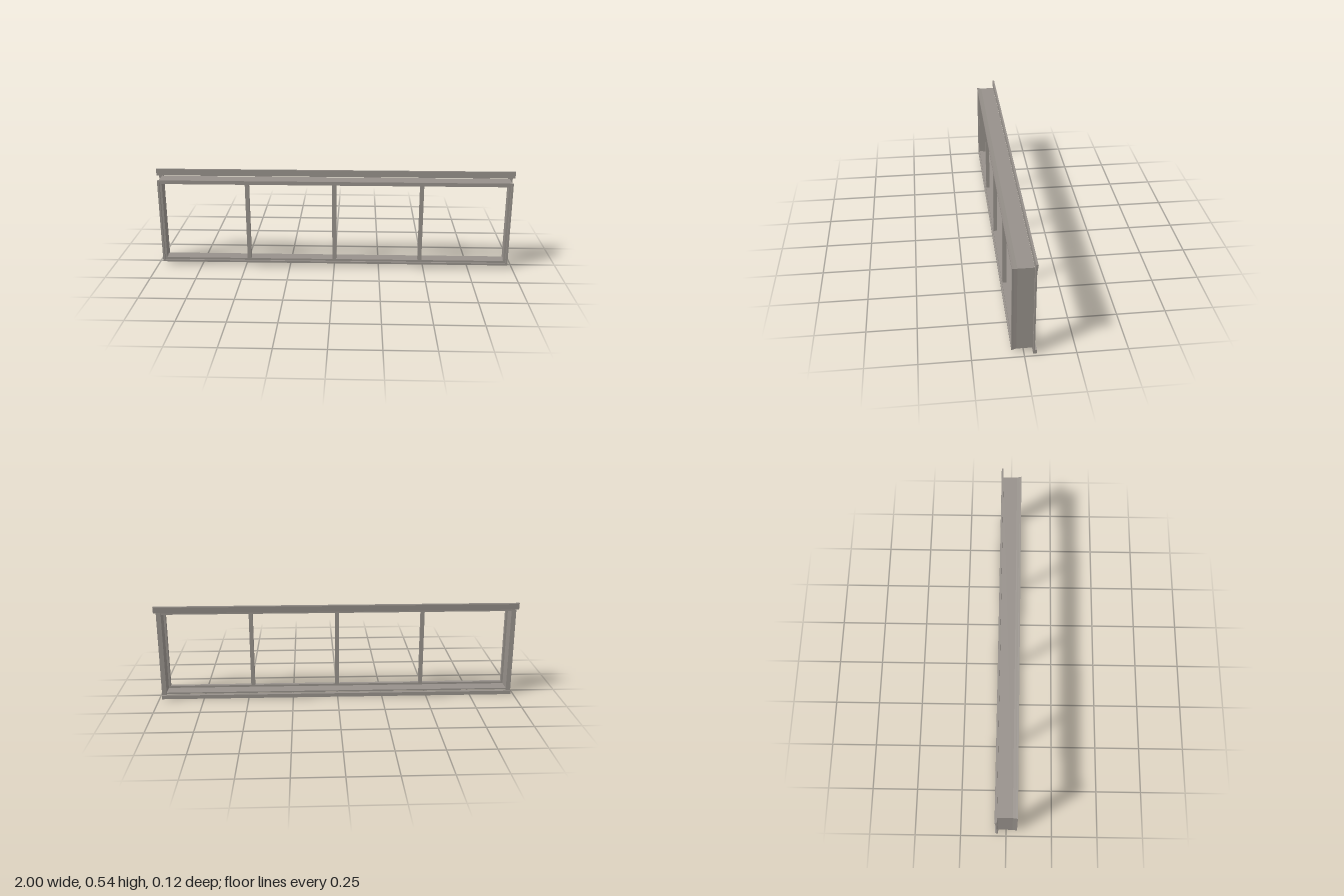
import * as THREE from 'three';

// Sweep a closed [inset, z] profile round a rectangle with mitred corners
function mitredFrame(halfW, y0, y1, profile) {
  const pos = [];
  const corner = (k, [d, z]) => [
    (k === 1 || k === 2 ? 1 : -1) * (halfW - d),
    k < 2 ? y0 + d : y1 - d,
    z,
  ];
  for (let k = 0; k < 4; k++) {
    const n = (k + 1) % 4;
    profile.forEach((p, i) => {
      const q = profile[(i + 1) % profile.length];
      const a = corner(k, p), b = corner(n, p), c = corner(n, q), d = corner(k, q);
      pos.push(...d, ...c, ...b, ...d, ...b, ...a);
    });
  }
  const geo = new THREE.BufferGeometry();
  geo.setAttribute('position', new THREE.Float32BufferAttribute(pos, 3));
  geo.computeVertexNormals();
  return geo;
}

export function createModel() {
  const group = new THREE.Group();
  const paint = new THREE.MeshStandardMaterial({ color: 0x96908a });
  paint.name = 'warm grey paint';

  const add = (name, geo, x = 0, y = 0, z = 0) => {
    const mesh = new THREE.Mesh(geo, paint);
    mesh.name = name;
    mesh.position.set(x, y, z);
    group.add(mesh);
    return mesh;
  };
  const box = (name, x0, x1, y0, y1, z0, z1) =>
    add(name, new THREE.BoxGeometry(x1 - x0, y1 - y0, z1 - z0),
      (x0 + x1) / 2, (y0 + y1) / 2, (z0 + z1) / 2);

  // Deep jamb, its outside flaring slightly towards the front
  add('jambFrame', mitredFrame(0.972, 0.02, 0.5, [
    [0.011, 0.06], [0, 0.06], [0.002, 0.05], [0.004, 0.035],
    [0.004, -0.043], [0.012, -0.043], [0.012, 0.05],
  ]));

  // Sash set just behind the front rim
  add('sash', mitredFrame(0.962, 0.03, 0.49, [
    [0.013, 0.052], [0, 0.052], [0, 0.03], [0.013, 0.03],
  ]));

  // Three upright glazing bars
  for (const x of [-0.48, 0, 0.48]) {
    box('mullion', x - 0.011, x + 0.011, 0.04, 0.48, 0.03, 0.05);
  }

  // Casing strips up both sides
  for (const s of [-1, 1]) {
    const x = s * 0.972;
    box('sideCasing', x - 0.013, x + 0.013, 0.02, 0.5, -0.051, -0.043);
  }

  // Sill projecting to the rear
  box('sill', -0.985, 0.985, 0, 0.021, -0.06, -0.043);

  // Head casing, thicker towards its top edge
  const head = new THREE.Shape([
    [0.043, 0.498], [0.050, 0.498], [0.054, 0.53], [0.053, 0.535], [0.043, 0.535],
  ].map(([a, b]) => new THREE.Vector2(a, b)));
  const headGeo = new THREE.ExtrudeGeometry(head, { depth: 2, bevelEnabled: false });
  headGeo.rotateY(Math.PI / 2); // profile runs along x, thickness towards -z
  add('headCasing', headGeo, -1);

  return group;
}
